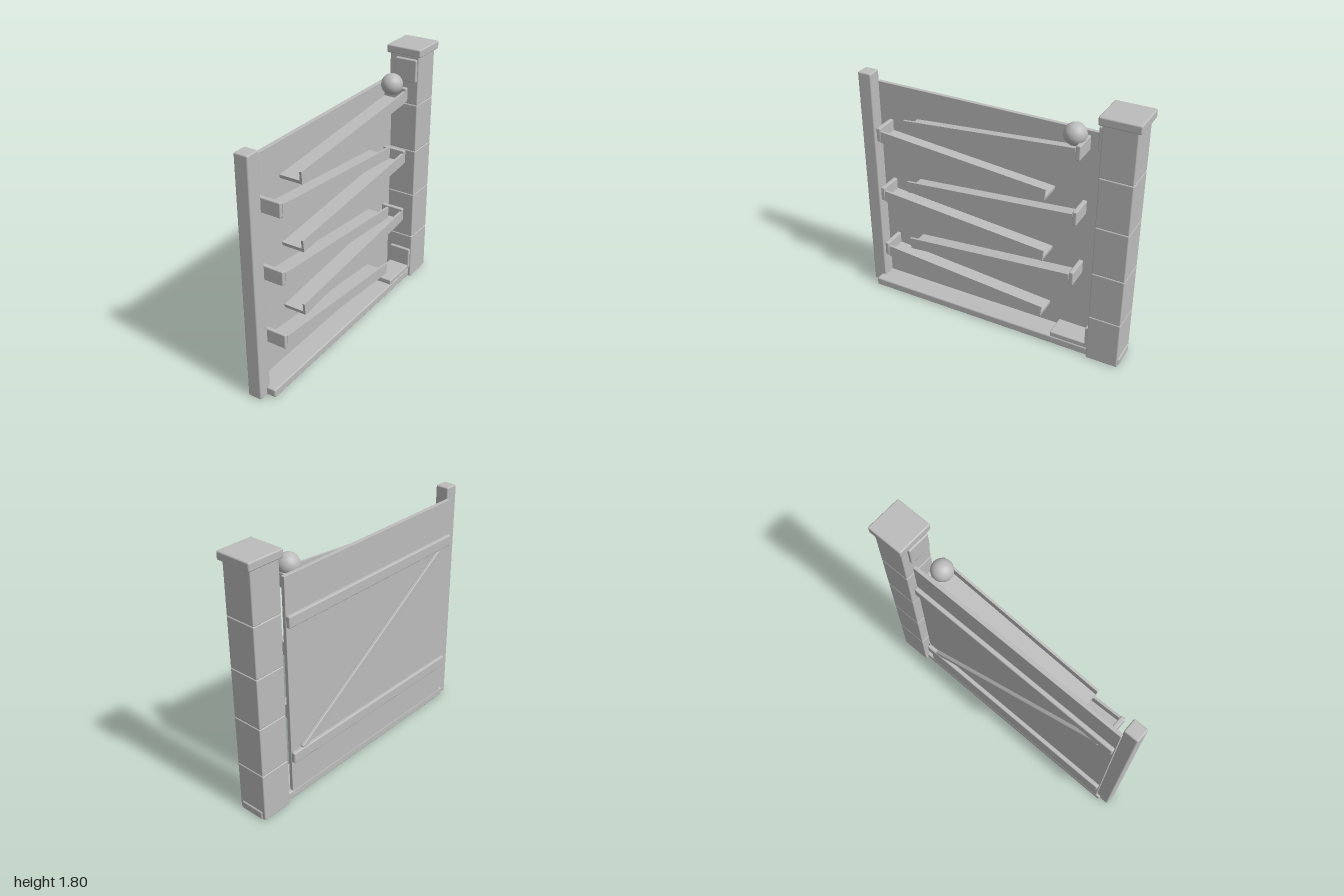
import * as THREE from 'three';
import { RoundedBoxGeometry } from 'three/addons/geometries/RoundedBoxGeometry.js';

export function createModel() {
  const model = new THREE.Group();
  model.name = 'marbleRunWall';
  const grey = new THREE.MeshStandardMaterial({ color: 0xbcbcbc });
  grey.name = 'plain grey';

  // Box given by its limits on each axis; r is the edge rounding (0 = sharp).
  function block(name, [x0, x1], [y0, y1], [z0, z1], r = 0, parent = model) {
    const s = [x1 - x0, y1 - y0, z1 - z0];
    const geo = r ? new RoundedBoxGeometry(...s, 2, r) : new THREE.BoxGeometry(...s);
    const mesh = new THREE.Mesh(geo, grey);
    mesh.name = name;
    mesh.position.set((x0 + x1) / 2, (y0 + y1) / 2, (z0 + z1) / 2);
    parent.add(mesh);
    return mesh;
  }

  // Base beam, back panel and front post
  block('baseBeam', [-0.09, 0.09], [0.002, 0.06], [-0.985, 0.935], 0.01);
  block('backPanel', [-0.088, -0.062], [0.05, 1.6], [-0.7, 0.905], 0.003);
  block('frontPost', [-0.072, 0.026], [0, 1.68], [0.9, 1], 0.01);

  // Pillar of five stacked blocks with a cap
  const blockHeight = 0.349;
  for (let i = 0; i < 5; i++) {
    block('pillarBlock', [-0.113, 0.109], [i * blockHeight, (i + 1) * blockHeight], [-0.977, -0.755], 0.008);
  }
  block('pillarCap', [-0.131, 0.129], [1.745, 1.802], [-1, -0.735], 0.01);

  // Plates on the pillar face and the landing tray
  block('lowerPlate', [-0.062, 0.1], [0.08, 0.24], [-0.765, -0.735], 0.008);
  block('upperPlate', [-0.062, 0.1], [1.565, 1.725], [-0.765, -0.735], 0.008);
  block('landingTray', [-0.062, 0.095], [0.065, 0.105], [-0.76, -0.48], 0.008);

  // Sloping channels, alternating in direction
  const slope = Math.atan(0.105 / 1.21);
  for (let i = 0; i < 6; i++) {
    const facesFront = i % 2 === 0;
    const drop = Math.floor(i / 2) * 0.46;
    const channel = new THREE.Group();
    channel.name = 'channel';
    channel.position.set(0, (facesFront ? 1.457 : 1.225) - drop, facesFront ? 0.004 : 0.195);
    channel.rotation.x = facesFront ? slope : -slope;
    block('channelFloor', [-0.064, 0.099], [-0.041, -0.019], [-0.607, 0.607], 0, channel);
    block('channelWall', [0.084, 0.1], [-0.041, 0.041], [-0.607, 0.607], 0, channel);
    model.add(channel);

    // Upright stop at the high end
    const z = facesFront ? -0.614 : 0.815;
    const y = (facesFront ? 1.52 : 1.29) - drop;
    block('channelStop', [-0.064, 0.102], [y - 0.05, y + 0.05], [z - 0.015, z + 0.015], 0.007);
  }

  // Ball resting at the top of the first channel
  const ball = new THREE.Mesh(new THREE.SphereGeometry(0.073, 32, 20), grey);
  ball.name = 'ball';
  ball.position.set(0.018, 1.6, -0.558);
  model.add(ball);

  // Battens and diagonal brace on the rear side
  for (const y of [0.33, 1.31]) {
    block('batten', [-0.118, -0.086], [y - 0.04, y + 0.04], [-0.7, 0.9], 0.009);
  }
  const dz = 1.4, dy = 0.89;
  const half = Math.hypot(dz, dy) / 2;
  const brace = block('diagonalBrace', [-0.114, -0.086], [-0.02, 0.02], [-half, half], 0.007);
  brace.position.set(-0.1, 0.81, 0.09);
  brace.rotation.x = -Math.atan2(dy, dz);

  return model;
}
